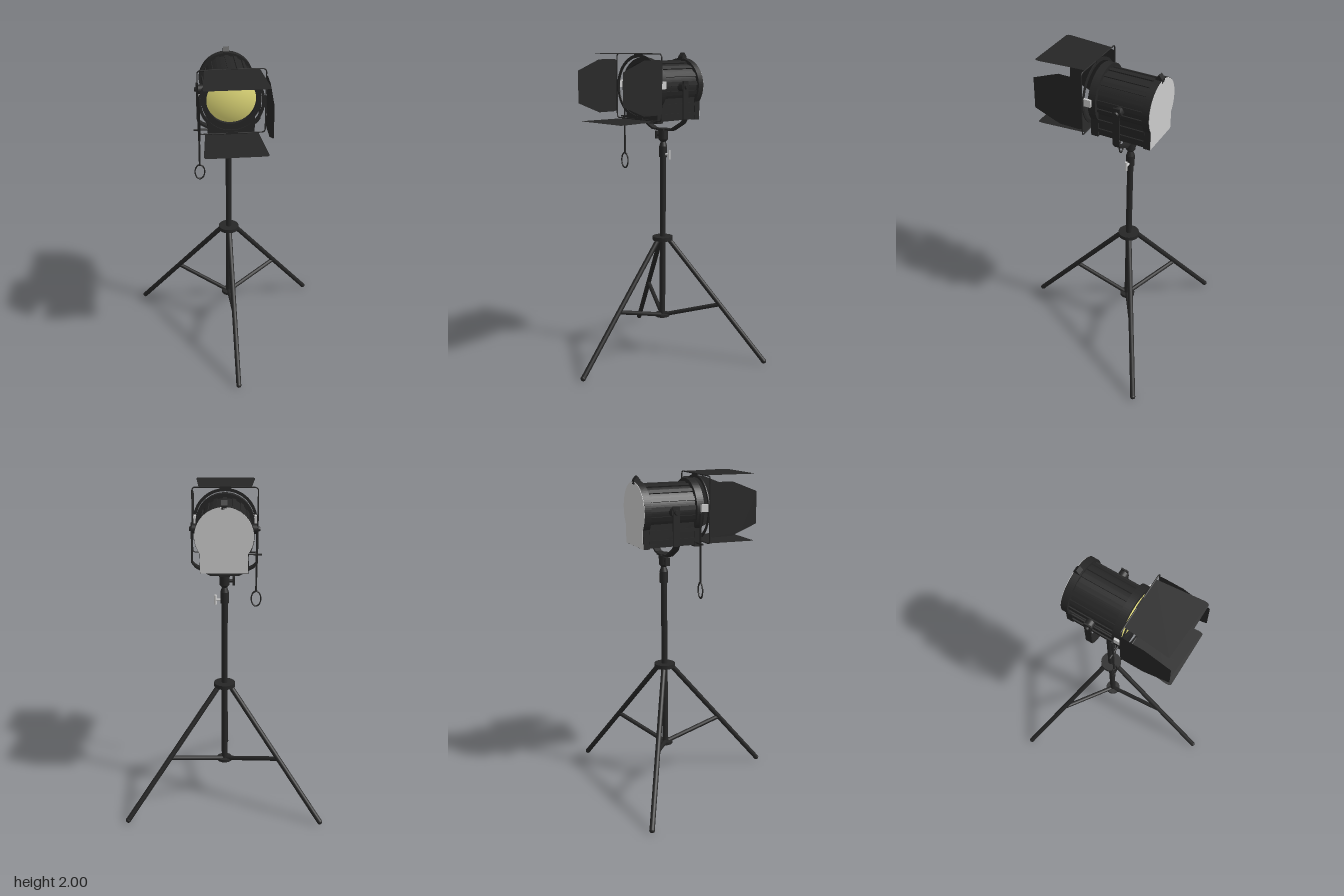
import * as THREE from 'three';

const dark = new THREE.MeshStandardMaterial({ color: 0x262626 });
const darkThin = new THREE.MeshStandardMaterial({ color: 0x262626, side: THREE.DoubleSide });
const grey = new THREE.MeshStandardMaterial({ color: 0xcccccc });
const yellow = new THREE.MeshStandardMaterial({ color: 0xe6df7c });

const PZ = -0.17;  // depth of the stand's axis
const CY = 1.795;  // height of the lamp's axis
const V = (x, y, z) => new THREE.Vector3(x, y, z);

export function createModel() {
  const root = new THREE.Group();

  const add = (name, geo, mat, x = 0, y = 0, z = 0, parent = root) => {
    const m = new THREE.Mesh(geo, mat);
    m.name = name;
    m.position.set(x, y, z);
    parent.add(m);
    return m;
  };
  // round bar between two points
  const bar = (name, a, b, r, mat = dark, sides = 16, r2 = r) => {
    const d = b.clone().sub(a);
    const m = add(name, new THREE.CylinderGeometry(r2, r, d.length(), sides), mat);
    m.position.copy(a).addScaledVector(d, 0.5);
    m.quaternion.setFromUnitVectors(V(0, 1, 0), d.normalize());
    return m;
  };
  const extrude = (shape, depth) => new THREE.ExtrudeGeometry(shape, { depth, bevelEnabled: false, curveSegments: 32 });

  // ---- Tripod stand ----
  bar('pole', V(0, 0.26, PZ), V(0, 1.36, PZ), 0.019);
  bar('legCollar', V(0, 0.79, PZ), V(0, 0.815, PZ), 0.066, dark, 24);
  bar('braceHub', V(0, 0.262, PZ), V(0, 0.28, PZ), 0.048, dark, 24);
  for (let i = 0; i < 3; i++) {
    const a = Math.PI / 2 + i * Math.PI * 2 / 3;
    const at = (r, y) => V(Math.cos(a) * r, y, PZ + Math.sin(a) * r);
    bar('leg', at(0.035, 0.805), at(0.69, 0.018), 0.016);
    const foot = add('foot', new THREE.SphereGeometry(0.017, 16, 10), dark);
    foot.position.copy(at(0.69, 0.018));
    bar('brace', at(0.02, 0.275), at(0.385, 0.378), 0.014, dark, 12);
  }

  // ---- Neck, clamp and tightening screws ----
  bar('poleSocket', V(0, 1.34, PZ), V(0, 1.41, PZ), 0.026);
  bar('socketTaper', V(0, 1.41, PZ), V(0, 1.445, PZ), 0.026, dark, 16, 0.014);
  bar('spigot', V(0, 1.43, PZ), V(0, 1.52, PZ), 0.014);
  bar('clamp', V(0, 1.455, PZ), V(0, 1.515, PZ), 0.03);
  bar('clampTaper', V(0, 1.455, PZ), V(0, 1.44, PZ), 0.03, dark, 16, 0.016);
  add('clampPlate', new THREE.BoxGeometry(0.065, 0.012, 0.07), dark, 0, 1.52, PZ);
  bar('clampScrew', V(-0.02, 1.48, PZ), V(-0.05, 1.48, PZ), 0.01);
  add('clampKnob', new THREE.BoxGeometry(0.014, 0.05, 0.03), dark, -0.055, 1.48, PZ);
  bar('poleScrew', V(0.015, 1.36, PZ), V(0.055, 1.36, PZ), 0.008, grey);
  bar('poleScrewHandle', V(0.055, 1.33, PZ), V(0.055, 1.39, PZ), 0.008, grey);

  // ---- Yoke: flat strap bent to a U, with pivot knobs ----
  const outer = [[0.197, 1.83], [0.197, 1.595], [0.175, 1.565], [0.085, 1.515]];
  const inner = outer.map(([x, y], i) => [x - 0.009, y + (i > 1 ? 0.01 : 0)]);
  const half = [...outer, ...outer.slice().reverse().map(([x, y]) => [-x, y]),
    ...inner.map(([x, y]) => [-x, y]), ...inner.slice().reverse()];
  const strap = new THREE.Shape(half.map(([x, y]) => new THREE.Vector2(x, y)));
  add('yoke', extrude(strap, 0.042), dark, 0, 0, PZ - 0.021);
  for (const s of [1, -1]) {
    bar('pivotKnob', V(s * 0.14, CY, PZ), V(s * 0.192, CY, PZ), 0.028, dark, 20);
    bar('pivotCap', V(s * 0.192, CY, PZ), V(s * 0.208, CY, PZ), 0.018, dark, 12, 0.012);
  }

  // ---- Lamp housing: round top running into a square base ----
  const housing = (r, hw, bottom, hole) => {
    const a = Math.acos(hw / r), s = new THREE.Shape();
    s.moveTo(-hw, bottom - CY);
    s.lineTo(hw, bottom - CY);
    s.lineTo(hw, -r * Math.sin(a));
    s.absarc(0, 0, r, -a, Math.PI + a, false);
    s.closePath();
    if (hole) s.holes.push(new THREE.Path().absarc(0, 0, hole, 0, Math.PI * 2, true));
    return s;
  };
  add('housingBody', extrude(housing(0.15, 0.132, 1.585), 0.3), dark, 0, CY, -0.32);
  add('housingFront', extrude(housing(0.177, 0.14, 1.575, 0.148), 0.046), dark, 0, CY, -0.026);
  add('housingRear', extrude(housing(0.17, 0.138, 1.58), 0.042), dark, 0, CY, -0.357);
  add('backPanel', extrude(housing(0.168, 0.136, 1.582), 0.003), grey, 0, CY, -0.36);

  // cooling ribs and vent strips along the housing
  for (let i = 0; i < 11; i++) {
    const a = -0.25 + i * (Math.PI + 0.5) / 10;
    const rib = add('coolingRib', new THREE.BoxGeometry(0.014, 0.024, 0.3), dark,
      Math.cos(a) * 0.15, CY + Math.sin(a) * 0.15, -0.17);
    rib.rotation.z = a;
  }
  for (const s of [1, -1]) {
    const vent = add('ventStrip', new THREE.BoxGeometry(0.018, 0.008, 0.25), grey,
      s * 0.1, CY + 0.115, -0.165);
    vent.rotation.z = -s * 0.71;
    for (const y of [1.62, 1.68]) add('sideRib', new THREE.BoxGeometry(0.012, 0.02, 0.3), dark, s * 0.135, y, -0.17);
  }
  // pointed latch on top of the rear rim
  const latch = new THREE.Shape([[-0.02, 0], [0.02, 0], [0.02, 0.025], [0, 0.05], [-0.02, 0.025]]
    .map(([x, y]) => new THREE.Vector2(x, y)));
  add('topLatch', extrude(latch, 0.036), dark, 0.018, 1.948, -0.34).rotation.y = -Math.PI / 2;

  // ---- Lens: shallow dome ----
  const R = 0.36, cap = Math.asin(0.148 / R);
  const lens = add('lens', new THREE.SphereGeometry(R, 40, 10, 0, Math.PI * 2, 0, cap), yellow, 0, CY, 0.028 - R);
  lens.rotation.x = Math.PI / 2;

  // ---- Barn door ring, wire frame and clips ----
  const ring = new THREE.Shape().absarc(0, 0, 0.196, 0, Math.PI * 2, false);
  ring.holes.push(new THREE.Path().absarc(0, 0, 0.178, 0, Math.PI * 2, true));
  add('doorRing', extrude(ring, 0.006), dark, 0, CY, 0.041);
  const frame = new THREE.CurvePath();
  const h = 0.2, c = 0.022;
  for (let i = 0; i < 4; i++) {
    const p = (x, y) => V(x, y, 0).applyAxisAngle(V(0, 0, 1), i * Math.PI / 2);
    frame.add(new THREE.LineCurve3(p(h, -h + c), p(h, h - c)));
    frame.add(new THREE.QuadraticBezierCurve3(p(h, h - c), p(h, h), p(h - c, h)));
  }
  add('doorFrame', new THREE.TubeGeometry(frame, 160, 0.004, 6, true), dark, 0, CY + 0.001, 0.045);
  for (const s of [1, -1]) {
    add('doorClip', new THREE.BoxGeometry(0.014, 0.045, 0.045), grey, s * 0.184, 1.81, 0.018);
    add('clipHinge', new THREE.BoxGeometry(0.018, 0.07, 0.012), dark, s * 0.19, CY, 0.045);
    add('doorHinge', new THREE.BoxGeometry(0.07, 0.016, 0.01), dark, 0, CY + s * 0.197, 0.045);
  }

  // ---- Barn doors, opened straight forward ----
  const door = (pts) => new THREE.ShapeGeometry(new THREE.Shape(
    [...pts, ...pts.slice().reverse().map(([x, y]) => [-x, y])].map(([x, y]) => new THREE.Vector2(x, y))));
  const wide = door([[0.16, 0.045], [0.186, 0.33], [0.183, 0.35], [0.175, 0.357]]);
  const narrow = door([[0.155, 0.045], [0.163, 0.06], [0.163, 0.19], [0.14, 0.25], [0.098, 0.357]]);
  for (const s of [1, -1]) {
    add(s > 0 ? 'topDoor' : 'bottomDoor', wide, darkThin, 0, CY + s * 0.203, 0).rotation.x = Math.PI / 2;
    const side = add(s > 0 ? 'leftDoor' : 'rightDoor', narrow, darkThin, s * 0.204, CY + 0.003, 0);
    side.rotation.set(Math.PI / 2, Math.PI / 2, 0);
  }

  // ---- Hanging pull rod with an oval loop ----
  bar('rodPin', V(-0.225, 1.6, -0.014), V(-0.13, 1.6, -0.014), 0.006, dark, 10);
  bar('pullRod', V(-0.193, 1.365, -0.012), V(-0.193, 1.78, -0.012), 0.006, dark, 10);
  const loop = add('pullLoop', new THREE.TorusGeometry(0.04, 0.005, 8, 32), dark, -0.193, 1.315, -0.012);
  loop.scale.set(0.75, 1.2, 1);

  return root;
}
